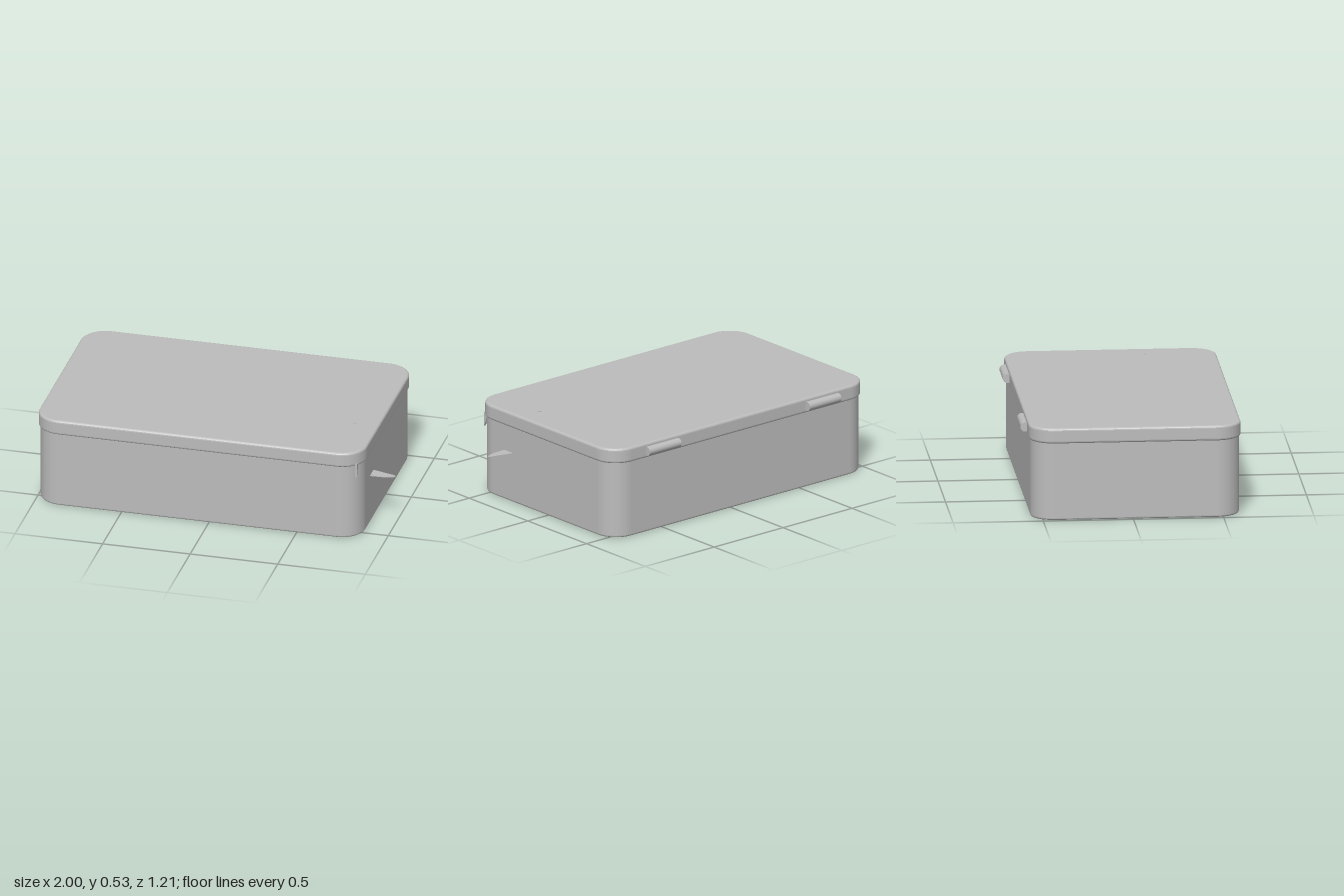
import * as THREE from 'three';

const metal = new THREE.MeshStandardMaterial({ color: 0xbcbcbc });
metal.name = 'plain grey';
metal.side = THREE.DoubleSide;

// Centre of the case on the ground plane
const CX = -0.065, CZ = 0.017;

function roundedRect(w, d, r) {
  const s = new THREE.Shape();
  const x = w / 2, y = d / 2;
  s.moveTo(x, -y + r);
  s.lineTo(x, y - r);
  s.absarc(x - r, y - r, r, 0, Math.PI / 2);
  s.absarc(-x + r, y - r, r, Math.PI / 2, Math.PI);
  s.absarc(-x + r, -y + r, r, Math.PI, Math.PI * 1.5);
  s.absarc(x - r, -y + r, r, Math.PI * 1.5, Math.PI * 2);
  return s;
}

// Rounded slab between two heights with softened rims
function slab(name, w, d, r, y0, y1, bevel) {
  const geo = new THREE.ExtrudeGeometry(roundedRect(w - 2 * bevel, d - 2 * bevel, r - bevel), {
    depth: y1 - y0 - 2 * bevel, curveSegments: 8,
    bevelEnabled: true, bevelSize: bevel, bevelThickness: bevel, bevelSegments: 4,
  });
  geo.rotateX(-Math.PI / 2);
  const mesh = new THREE.Mesh(geo, metal);
  mesh.name = name;
  mesh.position.set(CX, y0 + bevel, CZ);
  return mesh;
}

// Thin plate cut from an outline
function plate(name, points, thickness) {
  const shape = new THREE.Shape(points.map(([x, y]) => new THREE.Vector2(x, y)));
  const geo = new THREE.ExtrudeGeometry(shape, { depth: thickness, bevelEnabled: false });
  geo.translate(0, 0, -thickness / 2);
  const mesh = new THREE.Mesh(geo, metal);
  mesh.name = name;
  return mesh;
}

export function createModel() {
  const group = new THREE.Group();
  group.name = 'hingedTin';

  group.add(slab('body', 1.85, 1.157, 0.132, 0, 0.46, 0.012));
  group.add(slab('lid', 1.87, 1.175, 0.14, 0.436, 0.522, 0.014));

  // Hinge barrels along the back rim
  for (const x of [-0.645, 0.515]) {
    const hinge = new THREE.Mesh(new THREE.CylinderGeometry(0.026, 0.026, 0.23, 24), metal);
    hinge.name = 'hinge';
    hinge.rotation.z = Math.PI / 2;
    hinge.position.set(x, 0.478, -0.58);
    group.add(hinge);
  }

  // Flat pointed tab out of the left side
  const tab = plate('sideTab', [
    [0.82, 0.28], [0.88, 0.295], [0.99, 0.325], [1.0, 0.34], [0.95, 0.36], [0.82, 0.365],
  ], 0.004);
  tab.rotation.x = Math.PI / 2;
  tab.position.y = 0.286;
  group.add(tab);

  // Small upright fin at the front corner, under the lid
  const fin = plate('cornerFin', [
    [-0.565, 0.45], [-0.565, 0.37], [-0.552, 0.39], [-0.545, 0.42], [-0.543, 0.45],
  ], 0.012);
  fin.rotation.y = Math.PI / 2;
  fin.position.x = 0.832;
  group.add(fin);

  // Tiny stud on the lid
  const stud = new THREE.Mesh(new THREE.BoxGeometry(0.02, 0.01, 0.006), metal);
  stud.name = 'lidStud';
  stud.position.set(0.735, 0.521, 0.212);
  group.add(stud);

  return group;
}
